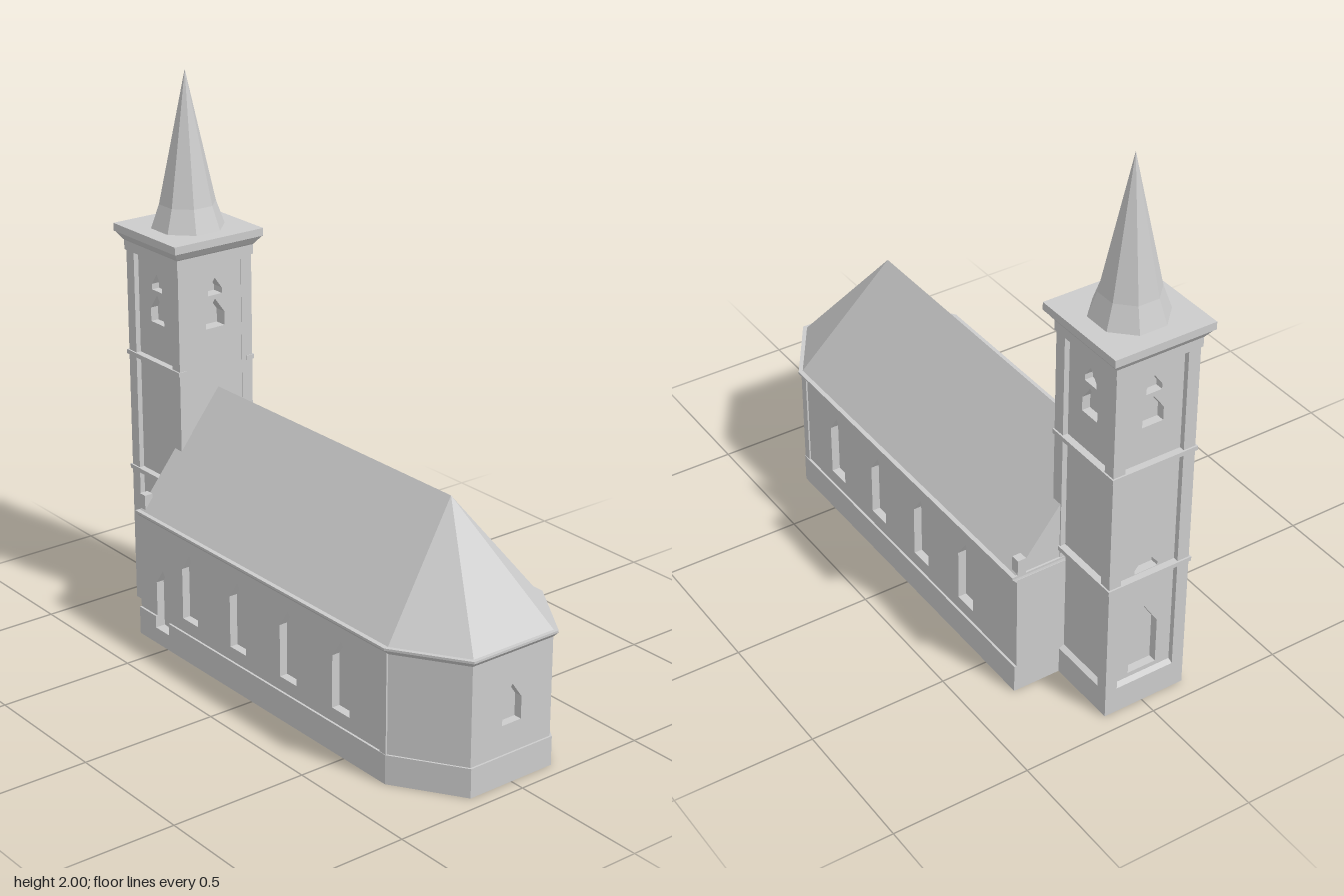
import * as THREE from 'three';

const stone = new THREE.MeshStandardMaterial({ color: 0xcccccc });
stone.name = 'pale grey stone';

function add(parent, name, geometry, x = 0, y = 0, z = 0) {
  const mesh = new THREE.Mesh(geometry, stone);
  mesh.name = name;
  mesh.position.set(x, y, z);
  parent.add(mesh);
  return mesh;
}

function box(parent, name, x0, x1, y0, y1, z0, z1) {
  return add(parent, name, new THREE.BoxGeometry(x1 - x0, y1 - y0, z1 - z0),
    (x0 + x1) / 2, (y0 + y1) / 2, (z0 + z1) / 2);
}

// Pointed opening: centre x, width, sill, springing and tip heights
function lancet([x, w, sill, spring, tip]) {
  const path = new THREE.Path();
  path.moveTo(x - w / 2, sill);
  path.lineTo(x - w / 2, spring);
  path.lineTo(x, tip);
  path.lineTo(x + w / 2, spring);
  path.lineTo(x + w / 2, sill);
  path.closePath();
  return path;
}

// Upright wall from a to b ([x, z]), outer face on the line, thickness inward
function wall(parent, name, a, b, y0, y1, depth, openings = []) {
  const dx = b[0] - a[0], dz = b[1] - a[1], h = Math.hypot(dx, dz) / 2;
  const shape = new THREE.Shape([[-h, y0], [h, y0], [h, y1], [-h, y1]].map(p => new THREE.Vector2(...p)));
  shape.holes = openings.map(lancet);
  const geometry = new THREE.ExtrudeGeometry(shape, { depth, bevelEnabled: false });
  geometry.translate(0, 0, -depth);
  const mesh = add(parent, name, geometry, (a[0] + b[0]) / 2, 0, (a[1] + b[1]) / 2);
  mesh.rotation.y = Math.atan2(-dz, dx);
  return mesh;
}

// Flat-sided solid through stacked outlines [points, height]
function loft(levels) {
  const out = [];
  const tri = (a, b, c) => {
    const [A, B, C] = [a, b, c].map(p => new THREE.Vector3(...p));
    if (B.sub(A).cross(C.sub(A)).length() > 1e-8) out.push(...a, ...b, ...c);
  };
  const rings = levels.map(([pts, y]) => pts.map(([x, z]) => [x, y, z]));
  const n = rings[0].length;
  for (let k = 0; k < rings.length - 1; k++) {
    for (let i = 0; i < n; i++) {
      const j = (i + 1) % n, lo = rings[k], hi = rings[k + 1];
      tri(lo[i], lo[j], hi[j]);
      tri(lo[i], hi[j], hi[i]);
    }
  }
  const top = rings[rings.length - 1];
  for (let i = 1; i < n - 1; i++) {
    tri(rings[0][0], rings[0][i + 1], rings[0][i]);
    tri(top[0], top[i], top[i + 1]);
  }
  const geometry = new THREE.BufferGeometry();
  geometry.setAttribute('position', new THREE.Float32BufferAttribute(out, 3));
  geometry.computeVertexNormals();
  return geometry;
}

// Nave footprint with a three-sided east end
const footprint = (west, side, east, endHalf) => [
  [west, side], [0.71, side], [east, endHalf], [east, -endHalf], [0.71, -side], [west, -side]];

function buildNave() {
  const nave = new THREE.Group();
  nave.name = 'nave';
  const f = footprint(-0.67, 0.32, 0.94, 0.17);
  const mid = 0.02, centres = [-0.365, -0.085, 0.195, 0.475];
  const windows = sign => centres.map(x => [sign * (x - mid), 0.09, 0.155, 0.345, 0.412]);

  add(nave, 'naveCore', loft([[footprint(-0.645, 0.29, 0.91, 0.155), 0], [footprint(-0.645, 0.29, 0.91, 0.155), 0.47]]));
  wall(nave, 'frontWall', f[0], f[1], 0, 0.47, 0.03, [...windows(1), [-0.53 - mid, 0.08, 0.06, 0.235, 0.292]]);
  wall(nave, 'frontApseWall', f[1], f[2], 0, 0.47, 0.03);
  wall(nave, 'endApseWall', f[2], f[3], 0, 0.47, 0.03, [[0, 0.08, 0.21, 0.29, 0.347]]);
  wall(nave, 'backApseWall', f[3], f[4], 0, 0.47, 0.03);
  wall(nave, 'backWall', f[4], f[5], 0, 0.47, 0.03, windows(-1));
  wall(nave, 'westWall', f[5], f[0], 0, 0.47, 0.03);

  // Plinth, broken at the front by the small doorway
  const p = footprint(-0.67, 0.328, 0.947, 0.173);
  for (let i = 1; i < 5; i++) wall(nave, 'plinth', p[i], p[i + 1], 0, 0.105, 0.012);
  wall(nave, 'plinth', p[0], [-0.57, 0.328], 0, 0.105, 0.012);
  wall(nave, 'plinth', [-0.49, 0.328], p[1], 0, 0.105, 0.012);
  wall(nave, 'doorSill', [-0.57, 0.328], [-0.49, 0.328], 0, 0.06, 0.012);

  for (const s of [-1, 1]) {
    const z = [s * 0.31, s * 0.326].sort((a, b) => a - b);
    box(nave, 'cornerPier', 0.68, 0.71, 0.1, 0.47, z[0], z[1]);
    // Little posts on the west corners of the roof
    box(nave, 'cornerPost', -0.667, -0.635, 0.47, 0.545, s * 0.3 - 0.016, s * 0.3 + 0.016);
  }

  // Eaves moulding and hipped roof
  const e = footprint(-0.667, 0.337, 0.955, 0.178);
  add(nave, 'eaves', loft([[f, 0.46], [e, 0.477], [e, 0.485]]));
  const ridge = [[-0.66, 0], [0.63, 0], [0.63, 0], [0.63, 0], [0.63, 0], [-0.66, 0]];
  add(nave, 'roof', loft([[footprint(-0.66, 0.322, 0.943, 0.17), 0.483], [ridge, 0.887]]));
  return nave;
}

function buildTower() {
  const tower = new THREE.Group();
  tower.name = 'tower';
  tower.position.set(-0.777, 0, 0.008);
  const square = h => [[-h, h], [h, h], [h, -h], [-h, -h]];

  add(tower, 'towerCore', loft([[square(0.108), 0], [square(0.108), 1.38]]));
  add(tower, 'towerPlinth', loft([[square(0.157), 0], [square(0.157), 0.1], [square(0.138), 0.108]]));
  for (const x of [-1, 1]) for (const z of [-1, 1]) {
    add(tower, 'cornerPilaster', new THREE.BoxGeometry(0.045, 1.36, 0.045), x * 0.1345, 0.68, z * 0.1345);
  }

  // Recessed faces; the one towards the nave is flush, the west one has a doorway
  const belfry = [[0, 0.08, 1.11, 1.16, 1.215], [0, 0.06, 1.23, 1.25, 1.292]];
  const doorway = [[0, 0.11, 0.125, 0.3, 0.385], [0, 0.09, 0.535, 0.55, 0.605]];
  const r = 0.138, w = 0.115;
  wall(tower, 'frontFace', [-w, r], [w, r], 0.1, 1.36, 0.031, belfry);
  wall(tower, 'naveFace', [0.155, w], [0.155, -w], 0.1, 1.36, 0.048, belfry);
  wall(tower, 'backFace', [w, -r], [-w, -r], 0.1, 1.36, 0.031, belfry);
  wall(tower, 'westFace', [-r, -w], [-r, w], 0.1, 1.36, 0.031, [...belfry, ...doorway]);

  // String courses wrap the three outer faces
  for (const y of [0.525, 0.968]) {
    box(tower, 'stringCourse', -0.163, 0.16, y - 0.008, y + 0.008, 0.13, 0.163);
    box(tower, 'stringCourse', -0.163, 0.16, y - 0.008, y + 0.008, -0.163, -0.13);
    box(tower, 'stringCourse', -0.163, -0.13, y - 0.008, y + 0.008, -0.14, 0.14);
  }

  // Frieze, flared cornice and slab
  add(tower, 'cornice', loft([[square(0.162), 1.35], [square(0.162), 1.385], [square(0.166), 1.39],
    [square(0.184), 1.415], [square(0.188), 1.417], [square(0.188), 1.445]]));

  // Eight-sided spire with a flared foot
  const octagon = flat => Array.from({ length: 8 }, (_, i) => {
    const a = Math.PI / 8 + i * Math.PI / 4, R = flat / Math.cos(Math.PI / 8);
    return [R * Math.cos(a), -R * Math.sin(a)];
  });
  add(tower, 'spire', loft([[octagon(0.122), 1.445], [octagon(0.094), 1.53], [octagon(0.0005), 2]]));
  return tower;
}

export function createModel() {
  const model = new THREE.Group();
  model.name = 'church';
  model.add(buildNave(), buildTower());
  return model;
}
